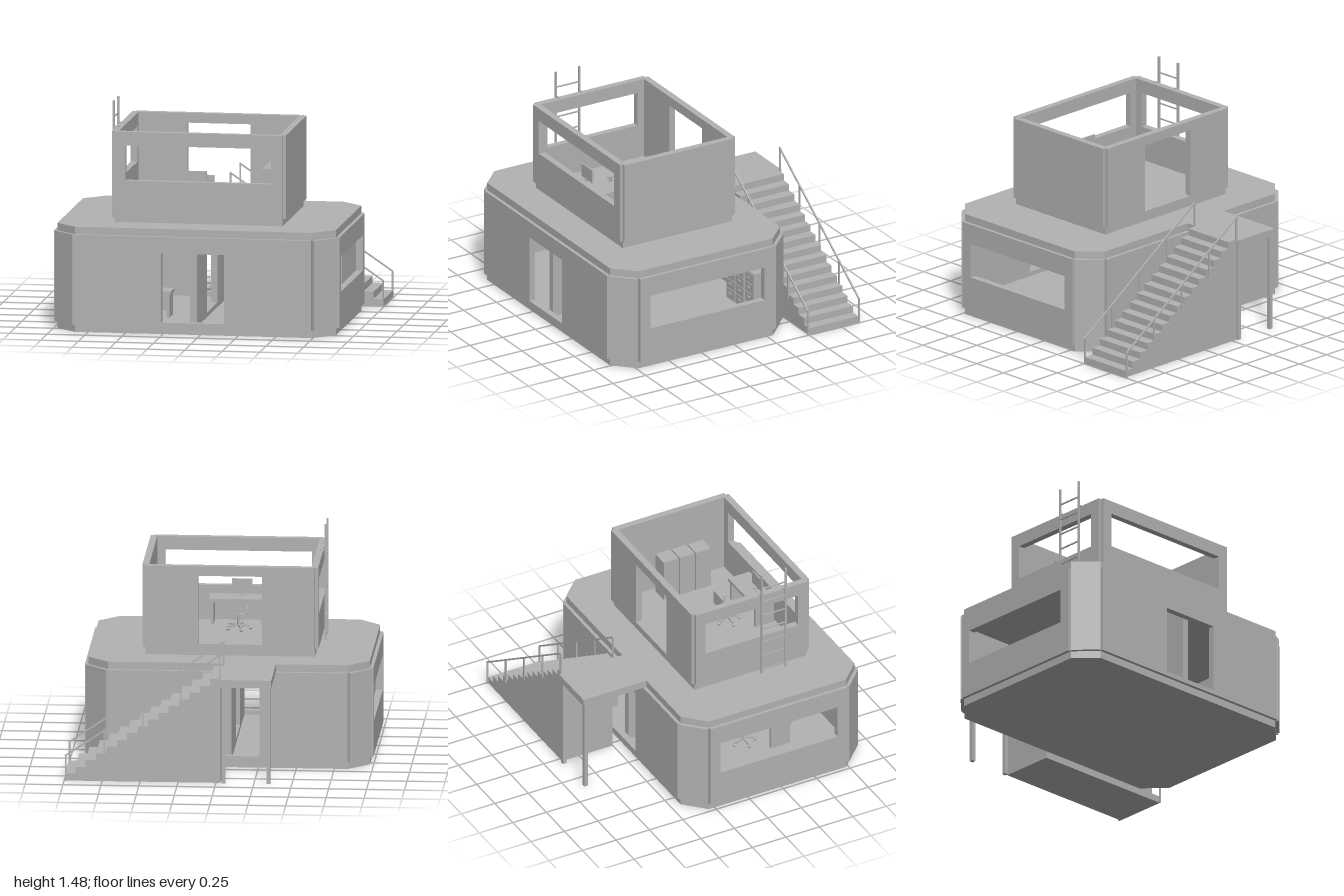
import * as THREE from 'three';

const concrete = new THREE.MeshStandardMaterial({ color: 0xb2b2b2 });
concrete.name = 'concrete grey';
const T = 0.045; // wall thickness

function mesh(parent, name, geo) {
  const m = new THREE.Mesh(geo, concrete);
  m.name = name;
  parent.add(m);
  return m;
}

// Box given by its minimum and maximum on each axis
function box(parent, name, x0, x1, y0, y1, z0, z1) {
  const m = mesh(parent, name, new THREE.BoxGeometry(x1 - x0, y1 - y0, z1 - z0));
  m.position.set((x0 + x1) / 2, (y0 + y1) / 2, (z0 + z1) / 2);
  return m;
}

// Square bar between two points
function bar(parent, name, a, b, size = 0.01) {
  const p = new THREE.Vector3(...a), q = new THREE.Vector3(...b);
  const m = mesh(parent, name, new THREE.BoxGeometry(size, size, p.distanceTo(q)));
  m.position.copy(p).add(q).multiplyScalar(0.5);
  m.lookAt(q);
  return m;
}

// Flat slab from a plan outline of [x, z] points
function slab(parent, name, pts, y, h) {
  const shape = new THREE.Shape(pts.map(([x, z]) => new THREE.Vector2(x, -z)));
  const geo = new THREE.ExtrudeGeometry(shape, { depth: h, bevelEnabled: false });
  geo.rotateX(-Math.PI / 2);
  mesh(parent, name, geo).position.y = y;
}

// Upright wall centred on the line a-b; hole = [width, bottom, top] in its middle
function wall(parent, name, a, b, y, h, hole) {
  const dx = b[0] - a[0], dz = b[1] - a[1], L = Math.hypot(dx, dz);
  const shape = new THREE.Shape([[-L / 2, 0], [L / 2, 0], [L / 2, h], [-L / 2, h]].map(p => new THREE.Vector2(...p)));
  if (hole) {
    const [w, v0, v1] = hole;
    shape.holes.push(new THREE.Path([[-w / 2, v0], [-w / 2, v1], [w / 2, v1], [w / 2, v0]].map(p => new THREE.Vector2(...p))));
  }
  const geo = new THREE.ExtrudeGeometry(shape, { depth: T, bevelEnabled: false });
  geo.translate(0, 0, -T / 2);
  const m = mesh(parent, name, geo);
  m.position.set((a[0] + b[0]) / 2, y, (a[1] + b[1]) / 2);
  m.rotation.y = Math.atan2(-dz, dx);
}

// Desk with screen, centred on its own origin, standing on y = 0
function desk() {
  const g = new THREE.Group();
  g.name = 'desk';
  box(g, 'desk top', -0.185, 0.185, 0.155, 0.175, -0.08, 0.08);
  for (const s of [-1, 1]) box(g, 'desk side', s * 0.165 - 0.01, s * 0.165 + 0.01, 0, 0.155, -0.07, 0.07);
  box(g, 'desk back panel', -0.155, 0.155, 0.05, 0.155, 0.055, 0.07);
  box(g, 'screen', -0.095, 0.04, 0.2, 0.29, 0.02, 0.03);
  box(g, 'screen stand', -0.035, -0.02, 0.175, 0.21, 0.025, 0.035);
  box(g, 'screen foot', -0.06, 0.005, 0.175, 0.18, 0.01, 0.045);
  return g;
}

// Swivel chair with five castors
function chair() {
  const g = new THREE.Group();
  g.name = 'chair';
  box(g, 'seat', -0.055, 0.055, 0.095, 0.115, -0.05, 0.055);
  box(g, 'backrest', -0.06, 0.06, 0.125, 0.22, -0.072, -0.055);
  box(g, 'back support', -0.01, 0.01, 0.1, 0.14, -0.065, -0.05);
  for (const s of [-1, 1]) {
    box(g, 'armrest', s * 0.06 - 0.006, s * 0.06 + 0.006, 0.145, 0.155, -0.06, 0.03);
    box(g, 'armrest post', s * 0.06 - 0.005, s * 0.06 + 0.005, 0.1, 0.145, 0, 0.015);
  }
  mesh(g, 'chair column', new THREE.CylinderGeometry(0.008, 0.008, 0.075, 10)).position.y = 0.06;
  for (let i = 0; i < 5; i++) {
    const t = Math.PI + i * Math.PI * 2 / 5, x = 0.08 * Math.cos(t), z = 0.08 * Math.sin(t);
    bar(g, 'chair foot', [0, 0.03, 0], [x, 0.025, z], 0.011);
    mesh(g, 'castor', new THREE.SphereGeometry(0.012, 10, 8)).position.set(x, 0.012, z);
  }
  return g;
}

// Row of three filing cabinets, drawers facing +z
function cabinets() {
  const g = new THREE.Group();
  g.name = 'filing cabinets';
  for (const x of [-0.12, 0, 0.12]) {
    box(g, 'cabinet', x - 0.056, x + 0.056, 0, 0.295, -0.06, 0.056);
    for (let i = 0; i < 4; i++) {
      const y = 0.012 + i * 0.07;
      box(g, 'drawer front', x - 0.05, x + 0.05, y, y + 0.062, 0.056, 0.061);
      box(g, 'drawer handle', x - 0.015, x + 0.015, y + 0.032, y + 0.04, 0.061, 0.07);
    }
  }
  return g;
}

function place(parent, g, x, y, z, ry = 0) {
  g.position.set(x, y, z);
  g.rotation.y = ry;
  parent.add(g);
}

export function createModel() {
  const model = new THREE.Group();
  model.name = 'control building';

  // Ground floor: chamfered plan, walls straddling the slab edge
  const X0 = -0.975, X1 = 0.88, Z0 = -0.43, Z1 = 0.87, C = 0.138;
  const plan = [
    [X0 + C, Z1], [X1 - C, Z1], [X1, Z1 - C], [X1, Z0 + C],
    [X1 - C, Z0], [X0 + C, Z0], [X0, Z0 + C], [X0, Z1 - C],
  ];
  slab(model, 'base slab', plan, 0, 0.05);
  slab(model, 'ceiling slab', plan, 0.65, 0.05);
  const door = [0.42, 0.03, 0.49], lowWindow = [0.875, 0.23, 0.465];
  const lower = [['front wall', door], ['corner wall'], ['left wall', lowWindow], ['corner wall'],
    ['back wall', door], ['corner wall'], ['right wall', lowWindow], ['corner wall']];
  lower.forEach(([name, hole], i) => wall(model, name, plan[i], plan[(i + 1) % 8], 0.05, 0.6, hole));
  wall(model, 'partition', [-0.05, Z0 + T / 2], [-0.05, Z1 - T / 2], 0.05, 0.6, door);

  // Upper room, open at the top
  const up = [[-0.607, 0.633], [0.508, 0.633], [0.508, -0.202], [-0.607, -0.202]];
  slab(model, 'upper floor', up, 0.7, 0.05);
  const upper = [['upper front wall', [0.97, 0.23, 0.465]], ['upper left wall'],
    ['upper back wall', door], ['upper right wall', [0.69, 0.23, 0.465]]];
  upper.forEach(([name, hole], i) => wall(model, name, up[i], up[(i + 1) % 4], 0.75, 0.555, hole));

  // Landing behind the building
  box(model, 'landing', -0.365, -0.03, 0.65, 0.7, -0.9, -0.43);
  for (const x of [-0.345, -0.05]) box(model, 'landing post', x - 0.013, x + 0.013, 0, 0.65, -0.89, -0.864);

  // Solid stair block
  const N = 15, SX0 = -0.03, SX1 = 0.995, run = (SX1 - SX0) / N, rise = 0.7 / N;
  const profile = [new THREE.Vector2(SX0, 0), new THREE.Vector2(SX1, 0)];
  for (let i = 0; i < N; i++) {
    profile.push(new THREE.Vector2(SX1 - i * run, (i + 1) * rise));
    profile.push(new THREE.Vector2(SX1 - (i + 1) * run, (i + 1) * rise));
  }
  const stairs = new THREE.ExtrudeGeometry(new THREE.Shape(profile), { depth: 0.375, bevelEnabled: false });
  mesh(model, 'stairs', stairs).position.z = -0.878;

  // Handrails on both sides of the stairs
  for (const z of [-0.886, -0.496]) {
    bar(model, 'handrail', [SX0, 0.865, z], [SX1, 0.168, z]);
    for (let i = 0; i <= 4; i++) {
      const x = SX0 + 0.005 + (SX1 - SX0 - 0.01) * i / 4, y = 0.865 - 0.697 * i / 4;
      box(model, 'rail post', x - 0.005, x + 0.005, Math.max(0, y - 0.18), y, z - 0.005, z + 0.005);
    }
  }

  // Ladder on the right wall of the upper room
  for (const z of [0.28, 0.458]) {
    box(model, 'ladder rail', -0.652, -0.639, 0.7, 1.48, z - 0.006, z + 0.006);
    box(model, 'ladder bracket', -0.645, -0.605, 1.303, 1.311, z - 0.006, z + 0.006);
  }
  for (let i = 0; i < 7; i++) bar(model, 'ladder rung', [-0.645, 1.37 - i * 0.107, 0.28], [-0.645, 1.37 - i * 0.107, 0.458], 0.008);

  // Furniture
  place(model, desk(), -0.05, 0.75, 0.53);
  place(model, chair(), -0.067, 0.75, 0.338);
  place(model, cabinets(), 0.397, 0.75, 0.255, Math.PI / 2);
  place(model, desk(), -0.442, 0.05, 0.435);
  place(model, chair(), -0.459, 0.05, 0.243);
  place(model, cabinets(), 0.47, 0.05, -0.345);
  return model;
}
